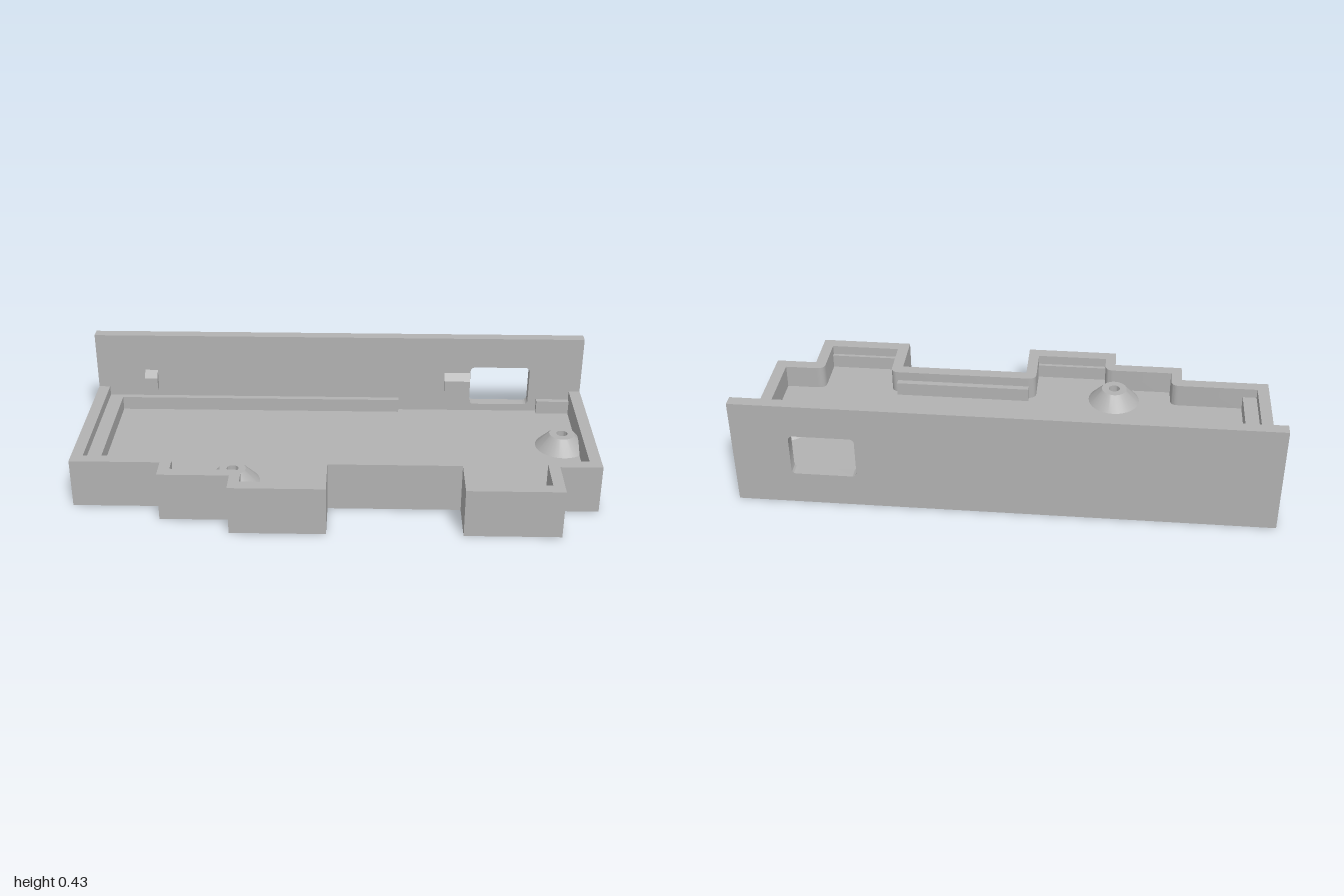
import * as THREE from 'three';
import { toCreasedNormals } from 'three/addons/utils/BufferGeometryUtils.js';

const FLOOR = 0.1, LEDGE = 0.155, RIM = 0.193, TOP = 0.427;
const BACK = -0.424, WALL = -0.38;

export function createModel() {
  const model = new THREE.Group();
  model.name = 'enclosureTray';
  const grey = new THREE.MeshStandardMaterial({ color: 0xb2b2b2 });
  grey.name = 'grey plastic';

  const add = (name, geometry) => {
    const mesh = new THREE.Mesh(geometry, grey);
    mesh.name = name;
    model.add(mesh);
    return mesh;
  };
  const box = (name, x0, x1, y0, y1, z0, z1) =>
    add(name, new THREE.BoxGeometry(x1 - x0, y1 - y0, z1 - z0))
      .position.set((x0 + x1) / 2, (y0 + y1) / 2, (z0 + z1) / 2);

  // Plan shape from [x, z, cornerRadius] points, raised from y0 to y1
  const slab = (points, y0, y1) => {
    const shape = new THREE.Shape();
    const p = points.map(([x, z]) => new THREE.Vector2(x, -z));
    p.forEach((c, i) => {
      const r = points[i][2] || 0;
      const prev = p[(i + p.length - 1) % p.length], next = p[(i + 1) % p.length];
      const toward = (q) => c.clone().add(q.clone().sub(c).setLength(r));
      const a = r ? toward(prev) : c;
      if (i === 0) shape.moveTo(a.x, a.y); else shape.lineTo(a.x, a.y);
      if (r) {
        const b = toward(next);
        shape.quadraticCurveTo(c.x, c.y, b.x, b.y);
      }
    });
    const g = new THREE.ExtrudeGeometry(shape, { depth: y1 - y0, bevelEnabled: false, curveSegments: 6 });
    g.rotateX(-Math.PI / 2).translate(0, y0, 0);
    return toCreasedNormals(g, 0.6);
  };

  // Stepped outline, open along the back wall
  const outer = [
    [-1, WALL], [-1, 0.245], [-0.657, 0.245], [-0.657, 0.335], [-0.388, 0.335], [-0.388, 0.424],
    [-0.028, 0.424], [-0.028, 0.245], [0.478, 0.245], [0.478, 0.424], [0.84, 0.424], [0.84, 0.245],
    [1, 0.245], [1, WALL],
  ];
  const r = 0.032;
  const inner = [
    [-0.955, WALL], [-0.955, 0.2], [-0.614, 0.2, r], [-0.614, 0.291], [-0.347, 0.291, r], [-0.347, 0.377],
    [-0.07, 0.377], [-0.07, 0.2, r], [0.522, 0.2, r], [0.522, 0.377], [0.797, 0.377], [0.797, 0.2, r],
    [0.955, 0.2], [0.955, WALL],
  ];
  add('floor', slab(outer, 0, FLOOR));
  add('sideAndFrontWalls', slab([...outer, ...inner.slice().reverse()], FLOOR, RIM));

  // Tall back wall with a rounded port opening
  const back = new THREE.Shape([[-1, 0], [1, 0], [1, TOP], [-1, TOP]].map(([x, y]) => new THREE.Vector2(x, y)));
  const [x0, x1, y0, y1, k] = [0.545, 0.788, 0.13, 0.298, 0.018];
  const port = new THREE.Path();
  port.absarc(x0 + k, y0 + k, k, -Math.PI / 2, Math.PI, true);
  port.absarc(x0 + k, y1 - k, k, Math.PI, Math.PI / 2, true);
  port.absarc(x1 - k, y1 - k, k, Math.PI / 2, 0, true);
  port.absarc(x1 - k, y0 + k, k, 0, -Math.PI / 2, true);
  back.holes.push(port);
  const backWall = new THREE.ExtrudeGeometry(back, { depth: WALL - BACK, bevelEnabled: false, curveSegments: 6 });
  add('backWall', toCreasedNormals(backWall.translate(0, 0, BACK), 0.6));

  // Support ledges inside the tray
  box('leftLedge', -0.955, -0.9, FLOOR, LEDGE, WALL, 0.2);
  box('backLedge', -0.9, 0.25, FLOOR, LEDGE, WALL, -0.357);
  box('backCornerLedge', 0.822, 0.955, FLOOR, LEDGE, WALL, -0.357);
  box('frontLedge', -0.042, 0.494, FLOOR, LEDGE, 0.176, 0.2);
  box('bayLedge', -0.347, -0.07, FLOOR, LEDGE, 0.363, 0.377);
  box('bayLedge', 0.522, 0.797, FLOOR, LEDGE, 0.363, 0.377);

  // Snap clips with a sloped top on the back wall
  for (const [a, b] of [[-0.802, -0.75], [0.438, 0.542]]) {
    const profile = new THREE.Shape([[WALL, RIM], [-0.354, RIM], [-0.354, 0.245], [WALL, 0.272]]
      .map(([z, y]) => new THREE.Vector2(-z, y)));
    const g = new THREE.ExtrudeGeometry(profile, { depth: b - a, bevelEnabled: false });
    add('snapClip', g.rotateY(Math.PI / 2).translate(a, 0, 0));
  }

  // Conical screw bosses
  const bossProfile = [[0.102, FLOOR], [0.05, LEDGE], [0.022, LEDGE], [0.022, FLOOR]]
    .map(([x, y]) => new THREE.Vector2(x, y));
  for (const [x, z] of [[-0.387, 0.217], [0.892, -0.085]]) {
    const boss = add('screwBoss', toCreasedNormals(new THREE.LatheGeometry(bossProfile, 32), 0.5));
    boss.position.set(x, 0, z);
  }
  return model;
}
